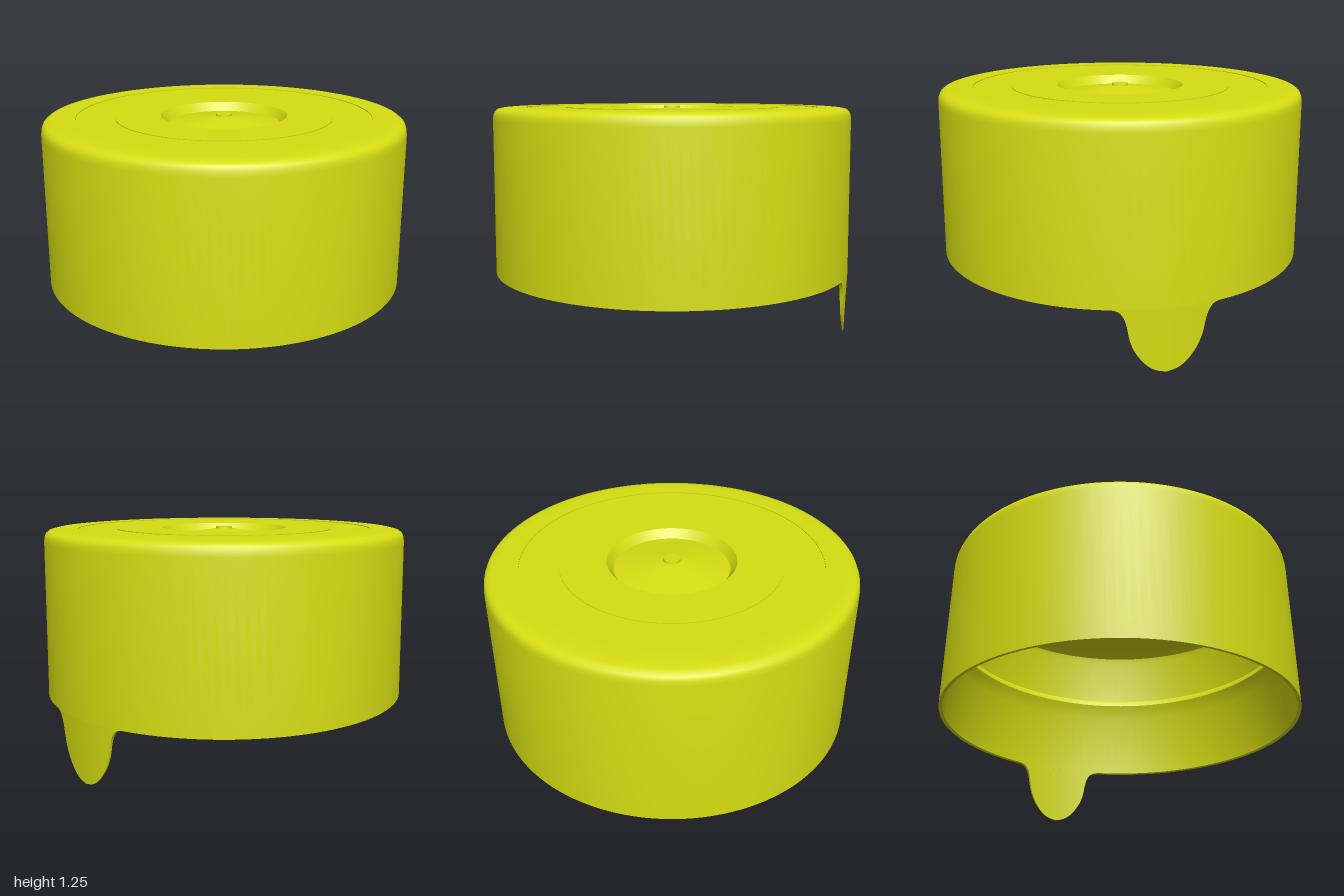
import * as THREE from 'three';
import { toCreasedNormals } from 'three/addons/utils/BufferGeometryUtils.js';

const material = new THREE.MeshStandardMaterial({ color: 0xd6de12 });

// Turned shell: ceiling centre -> inside wall -> rim -> outside wall -> top centre
function makeCap() {
  const profile = [
    // ceiling, following the dish above
    [0, 1.205], [0.3, 1.165], [0.36, 1.21], [0.9, 1.21],
    // inside corner
    [0.935, 1.203], [0.955, 1.185], [0.962, 1.15],
    // snap bead
    [0.966, 0.86], [0.951, 0.84], [0.945, 0.82], [0.951, 0.8], [0.972, 0.73],
    // rim
    [0.976, 0.343], [0.996, 0.34],
    // outside wall and rounded shoulder
    [0.986, 1.18], [0.983, 1.205], [0.975, 1.224], [0.96, 1.236], [0.935, 1.242], [0.9, 1.245],
    // shallow ring groove
    [0.805, 1.245], [0.805, 1.241], [0.595, 1.241], [0.595, 1.245],
    // dished centre with a raised pip
    [0.345, 1.245], [0.31, 1.198], [0.045, 1.238], [0.043, 1.25], [0, 1.25],
  ].map(([r, y]) => new THREE.Vector2(r, y));
  return toCreasedNormals(new THREE.LatheGeometry(profile, 128), 0.55);
}

// Tear tab: curved, tapering tongue hanging from the rim on the +x side
function makeTab() {
  const outline = new THREE.SplineCurve([
    [0.285, 0.344], [0.24, 0.332], [0.215, 0.305], [0.198, 0.26], [0.182, 0.18],
    [0.155, 0.115], [0.11, 0.055], [0.06, 0.018], [0.001, 0.002],
  ].map(([w, y]) => new THREE.Vector2(w, y)));
  const rows = 40, cols = 20, ring = 2 * (cols + 1);
  const positions = [], index = [];
  for (let i = 0; i <= rows; i++) {
    const p = outline.getPoint(i / rows);
    const t = THREE.MathUtils.clamp(p.y / 0.34, 0, 1);
    const outer = 0.984 + 0.012 * t, inner = 0.98 - 0.004 * t;
    for (let j = 0; j < ring; j++) {
      const front = j <= cols;
      const s = front ? j / cols : (ring - 1 - j) / cols;
      const r = front ? outer : inner;
      const a = Math.asin(p.x * (1 - 2 * s));
      positions.push(r * Math.cos(a), Math.max(p.y, 0), r * Math.sin(a));
    }
  }
  for (let i = 0; i < rows; i++) {
    for (let j = 0; j < ring; j++) {
      const a = i * ring + j, b = i * ring + (j + 1) % ring;
      index.push(a, b, a + ring, b, b + ring, a + ring);
    }
  }
  const geometry = new THREE.BufferGeometry();
  geometry.setAttribute('position', new THREE.Float32BufferAttribute(positions, 3));
  geometry.setIndex(index);
  return toCreasedNormals(geometry, 0.6);
}

export function createModel() {
  const group = new THREE.Group();
  group.name = 'cap';

  const shell = new THREE.Mesh(makeCap(), material);
  shell.name = 'capShell';

  const tabMaterial = material.clone();
  tabMaterial.side = THREE.DoubleSide;
  const tab = new THREE.Mesh(makeTab(), tabMaterial);
  tab.name = 'pullTab';

  group.add(shell, tab);
  return group;
}
